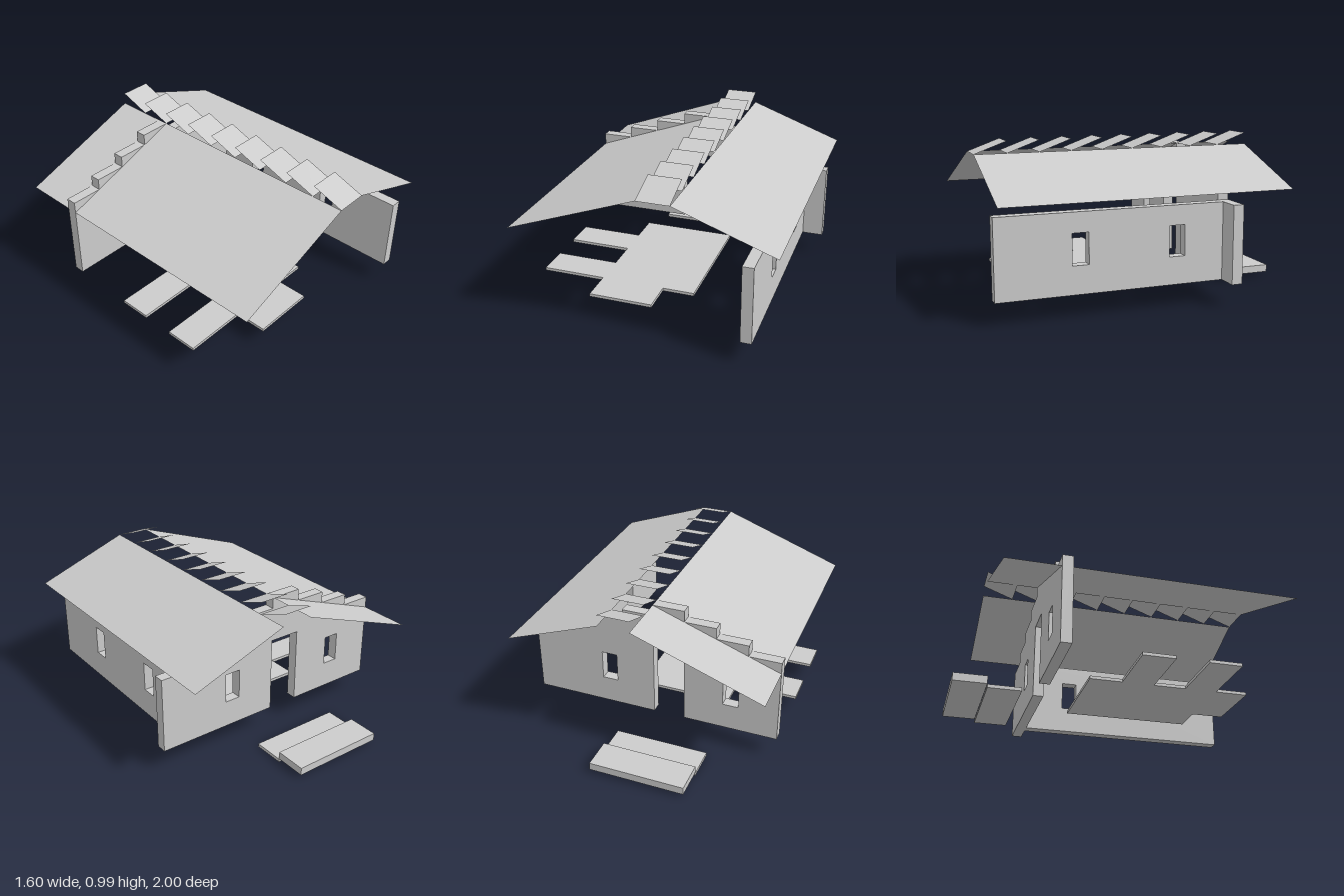
import * as THREE from 'three';

const BASE = 0.143, EAVE = 0.624, STEP = 0.0727, THICK = 0.067;
const RIDGE = EAVE + 4 * STEP;

export function createModel() {
  const group = new THREE.Group();
  const grey = new THREE.MeshStandardMaterial({ color: 0xcccccc, side: THREE.DoubleSide });
  grey.name = 'pale grey';

  const add = (name, geometry) => {
    const mesh = new THREE.Mesh(geometry, grey);
    mesh.name = name;
    group.add(mesh);
    return mesh;
  };
  const outline = (points) => new THREE.Shape(points.map(([x, y]) => new THREE.Vector2(x, y)));
  const extrude = (shape, depth) => new THREE.ExtrudeGeometry(shape, { depth, bevelEnabled: false });
  const rect = (x0, x1, y0, y1) => outline([[x0, y0], [x1, y0], [x1, y1], [x0, y1]]);
  const box = (name, x0, x1, y0, y1, z0, z1) =>
    add(name, new THREE.BoxGeometry(x1 - x0, y1 - y0, z1 - z0))
      .position.set((x0 + x1) / 2, (y0 + y1) / 2, (z0 + z1) / 2);

  // Thin sheet through four corners, counter-clockwise seen from above
  const sheet = (name, a, b, c, d) => {
    const g = new THREE.BufferGeometry();
    g.setAttribute('position', new THREE.Float32BufferAttribute([a, b, c, a, c, d].flat(), 3));
    g.computeVertexNormals();
    add(name, g);
  };

  // Back wall: stepped gable, open doorway and two windows
  const gable = [[-0.2, BASE], [-0.2, EAVE], [0, EAVE], [0, BASE], [0.8, BASE], [0.8, EAVE]];
  for (let i = 0; i < 3; i++) {
    const x = 0.6 - 0.2 * i;
    gable.push([x, EAVE + i * STEP], [x, EAVE + (i + 1) * STEP]);
  }
  gable.push([0, EAVE + 3 * STEP]);
  for (let i = 4; i >= 1; i--) {
    const x = -0.2 * (4 - i);
    gable.push([x, EAVE + i * STEP], [x - 0.2, EAVE + i * STEP]);
  }
  gable.push([-0.8, BASE]);
  const backShape = outline(gable);
  for (const x of [-0.55, 0.25]) backShape.holes.push(rect(x, x + 0.1, 0.314, 0.503));
  add('backWall', extrude(backShape, THICK)).position.z = -0.4 - THICK;

  // Side wall, drawn along -z and turned to run front to back
  const sideShape = rect(-1, 0.4, BASE, EAVE);
  for (const z of [0.45, -0.15]) sideShape.holes.push(rect(-z - 0.1, -z, 0.314, 0.503));
  const side = add('sideWall', extrude(sideShape, THICK));
  side.rotation.y = Math.PI / 2;
  side.position.x = 0.6;

  // Floor slab with projecting strips, drawn as x and -z
  const floorShape = outline([
    [-0.4, -0.8], [0, -0.8], [0, -0.6], [0.2, -0.6], [0.2, 0.2], [-0.4, 0.2],
    [-0.4, 0], [-0.8, 0], [-0.8, -0.2], [-0.4, -0.2],
    [-0.4, -0.4], [-0.8, -0.4], [-0.8, -0.6], [-0.4, -0.6],
  ]);
  const floor = add('floor', extrude(floorShape, 0.019));
  floor.rotation.x = -Math.PI / 2;
  floor.position.y = 0.123;

  // Entrance steps
  box('lowerStep', -0.4, 0.2, 0, 0.021, -0.8, -0.6);
  box('upperStep', -0.4, 0.2, 0.024, 0.072, -1, -0.8);

  // Roof slopes
  sheet('leftSlope', [0, RIDGE, 1], [0, RIDGE, -0.8], [-0.8, EAVE, -0.8], [-0.8, EAVE, 1]);
  sheet('rightSlope', [0.8, EAVE + STEP, 1], [0.8, EAVE + STEP, -0.8], [0.2, RIDGE, -0.8], [0.2, RIDGE, 1]);

  // Tilted louvres along the ridge opening
  for (let i = 0; i < 9; i++) {
    const z = 1 - 0.2 * i;
    sheet('ridgeLouvre', [0, RIDGE, z], [0.2, RIDGE, z],
      [0.2, RIDGE + STEP, z - 0.2], [0, RIDGE + STEP, z - 0.2]);
  }
  return group;
}
